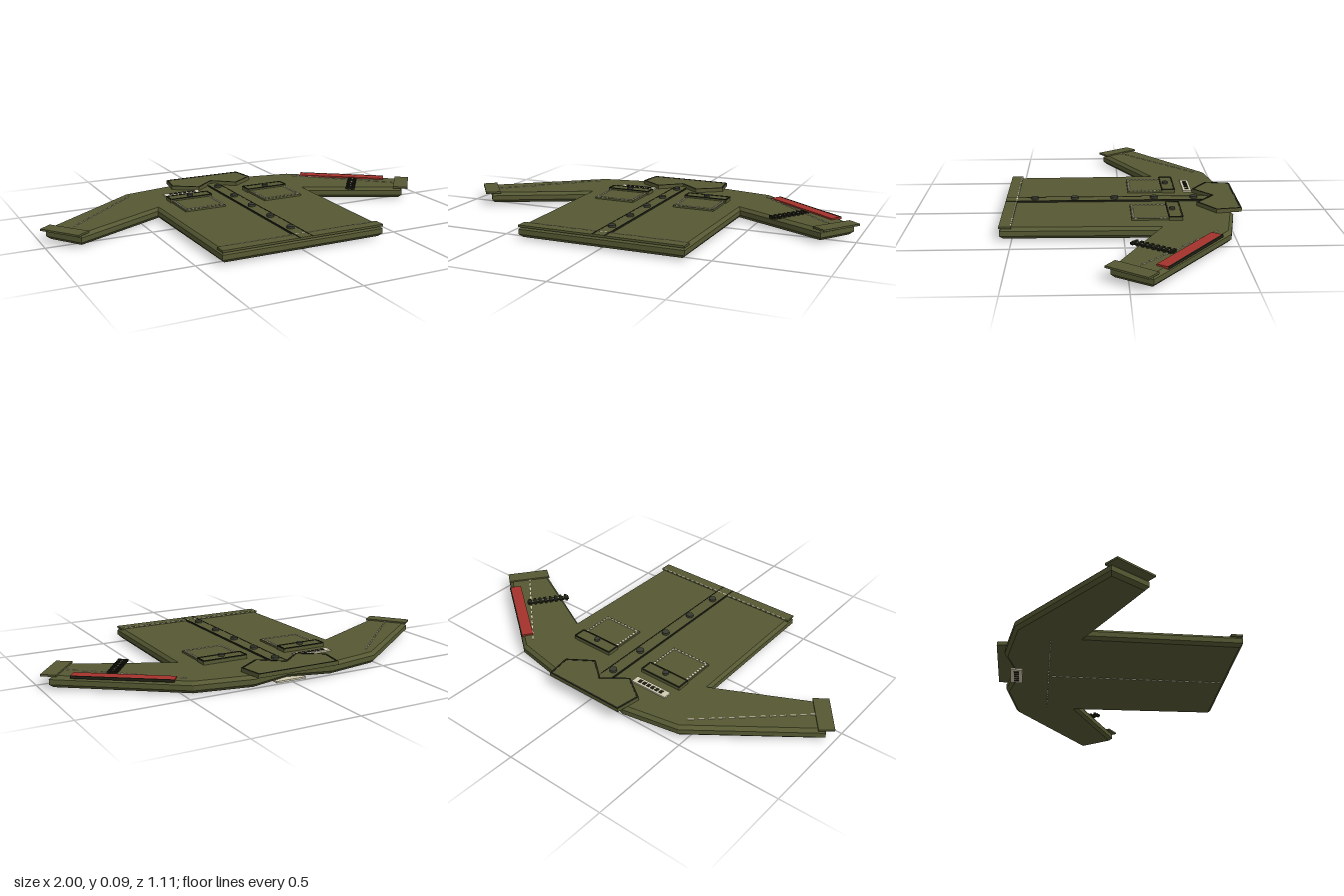
import * as THREE from 'three';

const mat = (name, color) => {
  const m = new THREE.MeshStandardMaterial({ color });
  m.name = name;
  return m;
};

export function createModel() {
  const olive = mat('olive cloth', 0x565933);
  const dark = mat('dark edging', 0x1f2014);
  const buttonMat = mat('button grey', 0x3a3c30);
  const cream = mat('cream thread', 0xd2ccb0);
  const red = mat('red cloth', 0xa3322b);

  const jacket = new THREE.Group();
  jacket.name = 'jacket';

  const add = (geometry, material, name, parent = jacket) => {
    const mesh = new THREE.Mesh(geometry, material);
    mesh.name = name;
    parent.add(mesh);
    return mesh;
  };
  const group = (name) => {
    const g = new THREE.Group();
    g.name = name;
    jacket.add(g);
    return g;
  };
  // Flat piece of cloth: outline in x, z, lying between y0 and y1
  const plate = (pts, y0, y1, material, name, bevel = 0, parent = jacket) => {
    const shape = new THREE.Shape(pts.map(([x, z]) => new THREE.Vector2(x, z)));
    const geo = new THREE.ExtrudeGeometry(shape, {
      depth: y1 - y0 - 2 * bevel, bevelEnabled: bevel > 0, bevelSize: bevel,
      bevelThickness: bevel, bevelOffset: -bevel, bevelSegments: 1,
    });
    geo.rotateX(Math.PI / 2).translate(0, y1 - bevel, 0);
    return add(geo, material, name, parent);
  };
  const box = (x0, x1, z0, z1, y0, y1, material, name, parent = jacket) => {
    const m = add(new THREE.BoxGeometry(x1 - x0, y1 - y0, z1 - z0), material, name, parent);
    m.position.set((x0 + x1) / 2, (y0 + y1) / 2, (z0 + z1) / 2);
    return m;
  };
  // Straight strip from a to b, each [x, z]
  const strip = (a, b, width, y0, y1, material, name, parent = jacket) => {
    const dx = b[0] - a[0], dz = b[1] - a[1];
    const m = add(new THREE.BoxGeometry(Math.hypot(dx, dz), y1 - y0, width), material, name, parent);
    m.position.set((a[0] + b[0]) / 2, (y0 + y1) / 2, (a[1] + b[1]) / 2);
    m.rotation.y = -Math.atan2(dz, dx);
    return m;
  };
  const mix = (a, b, t) => [a[0] + (b[0] - a[0]) * t, a[1] + (b[1] - a[1]) * t];
  const stitches = (a, b, n, y0, y1, parent, width = 0.006) => {
    for (let i = 0; i < n; i++) {
      strip(mix(a, b, (i + 0.2) / n), mix(a, b, (i + 0.8) / n), width, y0, y1, cream, 'stitch', parent);
    }
  };
  const outline = (pts, width, y0, y1, parent) => pts.forEach((p, i) =>
    strip(p, pts[(i + 1) % pts.length], width, y0, y1, dark, 'edging', parent));
  const disc = (x, z, r, y0, y1, parent) => {
    const m = add(new THREE.CylinderGeometry(r, r, y1 - y0, 16), buttonMat, 'button', parent);
    m.position.set(x, (y0 + y1) / 2, z);
  };
  const mirror = (pts) => pts.map(([x, z]) => [-x, z]).reverse();

  // Body and sleeves in one padded piece
  const half = [[0.2, -0.517], [0.47, -0.468], [0.97, -0.092], [0.855, 0.072],
    [0.41, -0.155], [0.4, 0.553]];
  plate([[0, -0.465], ...half, ...mirror(half)], 0.009, 0.062, olive, 'body', 0.015);

  // Hem band and its stitching
  box(-0.4, 0.4, 0.5, 0.555, 0.058, 0.068, olive, 'hemBand');
  stitches([-0.39, 0.502], [0.39, 0.502], 26, 0.066, 0.0695, group('hemStitching'));

  // Front placket with buttons
  box(-0.03, 0.03, -0.43, 0.553, 0.06, 0.069, olive, 'placket');
  for (const x of [-0.03, 0.03]) {
    strip([x, -0.4], [x, 0.553], 0.005, 0.061, 0.07, dark, 'placketEdge');
  }
  const buttons = group('frontButtons');
  for (let i = 0; i < 5; i++) disc(0, -0.352 + i * 0.192, 0.018, 0.068, 0.08, buttons);

  // Collar
  const collarHalf = [[0.205, -0.555], [0.223, -0.435], [0.105, -0.355]];
  plate([...collarHalf, [0, -0.44], ...mirror(collarHalf)], 0.062, 0.08, olive, 'collar');
  const trimHalf = [[0.2, -0.551], [0.218, -0.437], [0.106, -0.361]];
  outline([...trimHalf, [0, -0.446], ...mirror(trimHalf)], 0.008, 0.079, 0.0815, group('collarEdging'));

  for (const s of [1, -1]) {
    const side = s > 0 ? 'left' : 'right';

    // Cuff and sleeve stitching
    plate([[s * 1.0, -0.07], [s * 0.875, 0.095], [s * 0.815, 0.052], [s * 0.945, -0.115]],
      0.06, 0.069, olive, side + 'Cuff');
    stitches([s * 0.465, -0.41], [s * 0.89, -0.02], 13, 0.061, 0.065, group(side + 'SleeveStitching'));

    // Chest pocket with flap, stitching and button
    const pocket = group(side + 'Pocket');
    const cx = s * 0.21;
    box(cx - 0.104, cx + 0.104, -0.25, -0.037, 0.06, 0.071, olive, 'pocketBag', pocket);
    const [l, r, t, b] = [cx - 0.096, cx + 0.096, -0.2, -0.046];
    stitches([l, t], [l, b], 8, 0.07, 0.074, pocket, 0.009);
    stitches([l, b], [r, b], 9, 0.07, 0.074, pocket, 0.009);
    stitches([r, b], [r, t], 8, 0.07, 0.074, pocket, 0.009);
    box(cx - 0.11, cx + 0.11, -0.27, -0.207, 0.062, 0.08, olive, 'pocketFlap', pocket);
    outline([[cx - 0.108, -0.268], [cx + 0.108, -0.268], [cx + 0.108, -0.208], [cx - 0.108, -0.208]],
      0.007, 0.077, 0.082, pocket);
    disc(cx, -0.23, 0.014, 0.08, 0.09, pocket);
  }

  // Chest tape with plain dark bars
  const tape = group('chestTape');
  box(-0.305, -0.115, -0.355, -0.313, 0.061, 0.069, cream, 'tape', tape);
  for (let i = 0; i < 6; i++) {
    const x = -0.268 + i * 0.024;
    box(x - 0.008, x + 0.008, -0.344, -0.324, 0.068, 0.071, dark, 'bar', tape);
  }

  // Red armband on the left sleeve
  strip([0.517, -0.397], [0.88, -0.132], 0.055, 0.058, 0.069, red, 'armBand');
  strip([0.533, -0.419], [0.896, -0.154], 0.006, 0.058, 0.07, dark, 'armBandEdge');

  // Dark notched sleeve strip
  const notched = group('sleeveStrip');
  const p = [0.725, -0.195], q = [0.6, -0.025];
  strip(p, q, 0.026, 0.06, 0.068, dark, 'strip', notched);
  const len = Math.hypot(q[0] - p[0], q[1] - p[1]);
  const n = [-(q[1] - p[1]) / len, (q[0] - p[0]) / len];
  for (let i = 0; i < 8; i++) {
    const c = mix(p, q, (i + 0.5) / 8);
    strip([c[0] - n[0] * 0.023, c[1] - n[1] * 0.023], [c[0] + n[0] * 0.023, c[1] + n[1] * 0.023],
      0.012, 0.06, 0.071, dark, 'notch', notched);
    if (i < 7) {
      const d = mix(p, q, (i + 1) / 8);
      strip([d[0] - n[0] * 0.004, d[1] - n[1] * 0.004], [d[0] + n[0] * 0.004, d[1] + n[1] * 0.004],
        0.005, 0.067, 0.07, cream, 'dot', notched);
    }
  }

  // Back: yoke seam, centre seam and neck label
  const back = group('backStitching');
  stitches([-0.38, -0.31], [0.38, -0.31], 24, 0.005, 0.01, back);
  stitches([0, -0.3], [0, 0.54], 26, 0.005, 0.01, back);
  const label = group('neckLabel');
  box(-0.075, 0.075, -0.492, -0.436, 0.002, 0.01, cream, 'label', label);
  for (let i = 0; i < 5; i++) {
    const x = -0.048 + i * 0.024;
    box(x - 0.007, x + 0.007, -0.476, -0.452, 0, 0.003, dark, 'bar', label);
  }
  return jacket;
}
